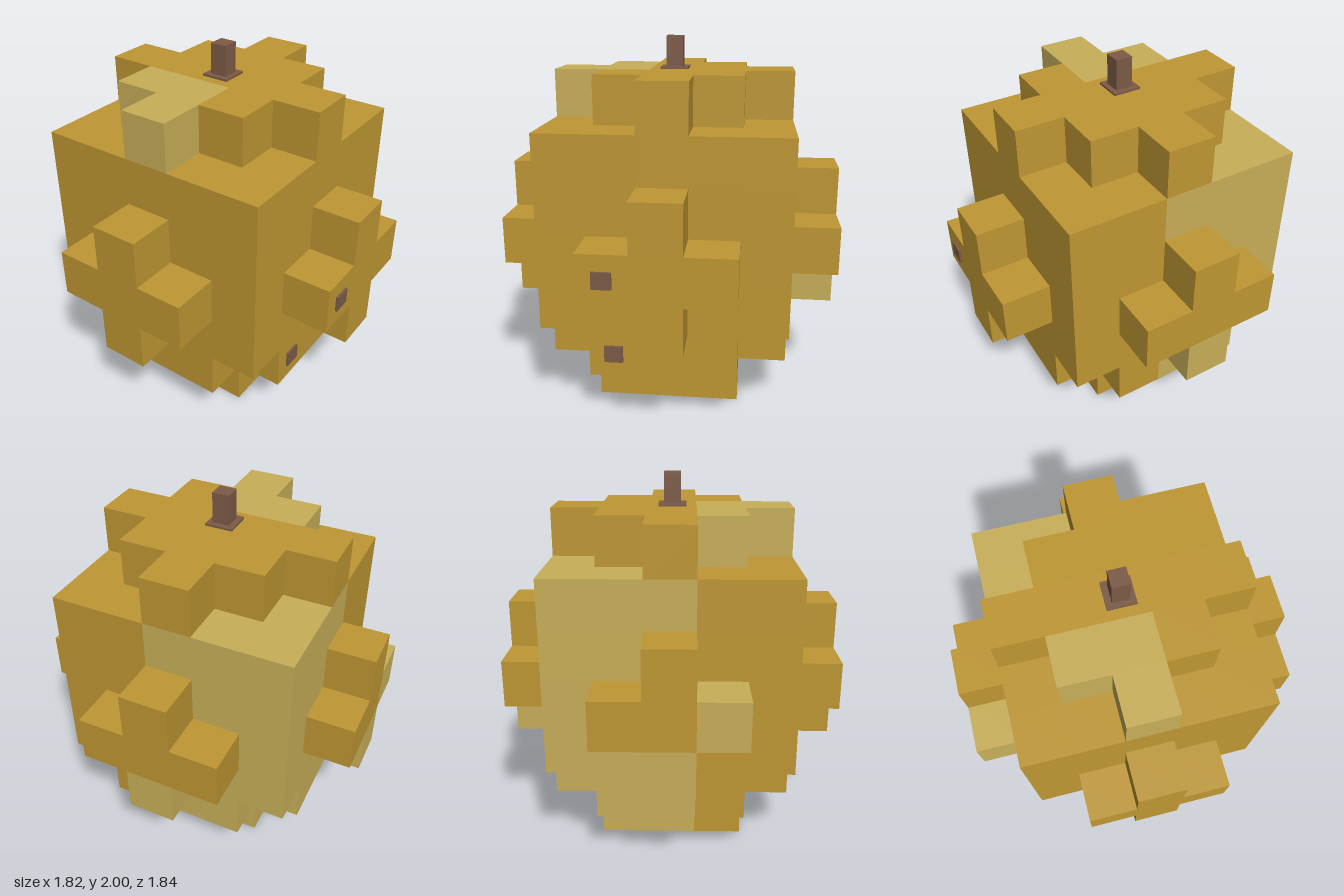
import * as THREE from 'three';
import { mergeGeometries } from 'three/addons/utils/BufferGeometryUtils.js';

const U = 0.2606;      // edge of one block
const Z0 = -0.006;     // depth offset of the block grid

// Which part fills a grid cell (x, z in -3..3, y in 0..6), or null if empty
function partAt(x, y, z) {
  const ax = Math.abs(x), az = Math.abs(z), m = Math.max(ax, az);
  if (y < 0 || y > 6 || m > 3) return null;
  if (m === 3) {                                   // plus-shaped bumps on four sides
    if (Math.min(ax, az) + Math.abs(y - 3) > 1) return null;
    return z === 3 ? 'frontBump' : z === -3 ? 'backBump' : x === 3 ? 'leftBump' : 'rightBump';
  }
  if (y === 6) return ax + az <= 2 ? 'crown' : null; // stepped diamond on top
  if (y === 0) return m <= 1 ? 'foot' : null;
  if (y === 1 && ax === 2 && az === 2) return null;  // notched lower corners
  return 'body';
}

// Cells in the paler colour
function isPale(part, x, y, z) {
  if (part === 'body' || part === 'foot') return x >= 0 && z <= 0;
  if (part === 'crown') return x < 0 && z <= 0;
  if (part === 'leftBump') return y === 2;
  if (part === 'backBump') return y === 2 || x === -1;
  return false;
}

const DIRS = [[1, 0, 0], [-1, 0, 0], [0, 1, 0], [0, -1, 0], [0, 0, 1], [0, 0, -1]];
const FORWARD = new THREE.Vector3(0, 0, 1);

function blockFace(x, y, z, dir) {
  const d = new THREE.Vector3(...dir);
  const g = new THREE.PlaneGeometry(U, U).translate(0, 0, U / 2);
  g.applyQuaternion(new THREE.Quaternion().setFromUnitVectors(FORWARD, d));
  return g.translate(x * U, (y + 0.5) * U, z * U + Z0);
}

export function createModel() {
  const model = new THREE.Group();
  const material = (name, color) => {
    const m = new THREE.MeshStandardMaterial({ color });
    m.name = name;
    return m;
  };
  const gold = material('gold', 0xbf9733);
  const pale = material('paleGold', 0xc9af59);
  const brown = material('brown', 0x7d5b47);

  // Collect the exposed block faces of each part and colour
  const parts = new Map();
  for (let x = -3; x <= 3; x++)
    for (let y = 0; y <= 6; y++)
      for (let z = -3; z <= 3; z++) {
        const part = partAt(x, y, z);
        if (!part) continue;
        const light = isPale(part, x, y, z);
        const name = light ? part + 'Pale' : part;
        for (const d of DIRS) {
          if (partAt(x + d[0], y + d[1], z + d[2])) continue;
          if (!parts.has(name)) parts.set(name, { faces: [], mat: light ? pale : gold });
          parts.get(name).faces.push(blockFace(x, y, z, d));
        }
      }
  for (const [name, { faces, mat }] of parts) {
    const mesh = new THREE.Mesh(mergeGeometries(faces), mat);
    mesh.name = name;
    model.add(mesh);
  }

  // Stem, its base plate and the two small front studs
  const box = (name, w, h, d, x, y, z) => {
    const mesh = new THREE.Mesh(new THREE.BoxGeometry(w, h, d), brown);
    mesh.name = name;
    mesh.position.set(x, y, z);
    model.add(mesh);
  };
  const top = 7 * U;
  box('stem', 0.092, 2 - top, 0.092, 0, (2 + top) / 2, Z0);
  box('stemBase', 0.152, 0.012, 0.152, 0, top + 0.005, Z0 - 0.002);
  box('upperStud', 0.1, 0.088, 0.02, -U, 3.5 * U, Z0 + 3.5 * U + 0.002);
  box('lowerStud', 0.1, 0.092, 0.02, -U, 1.5 * U, Z0 + 2.5 * U + 0.002);

  return model;
}
